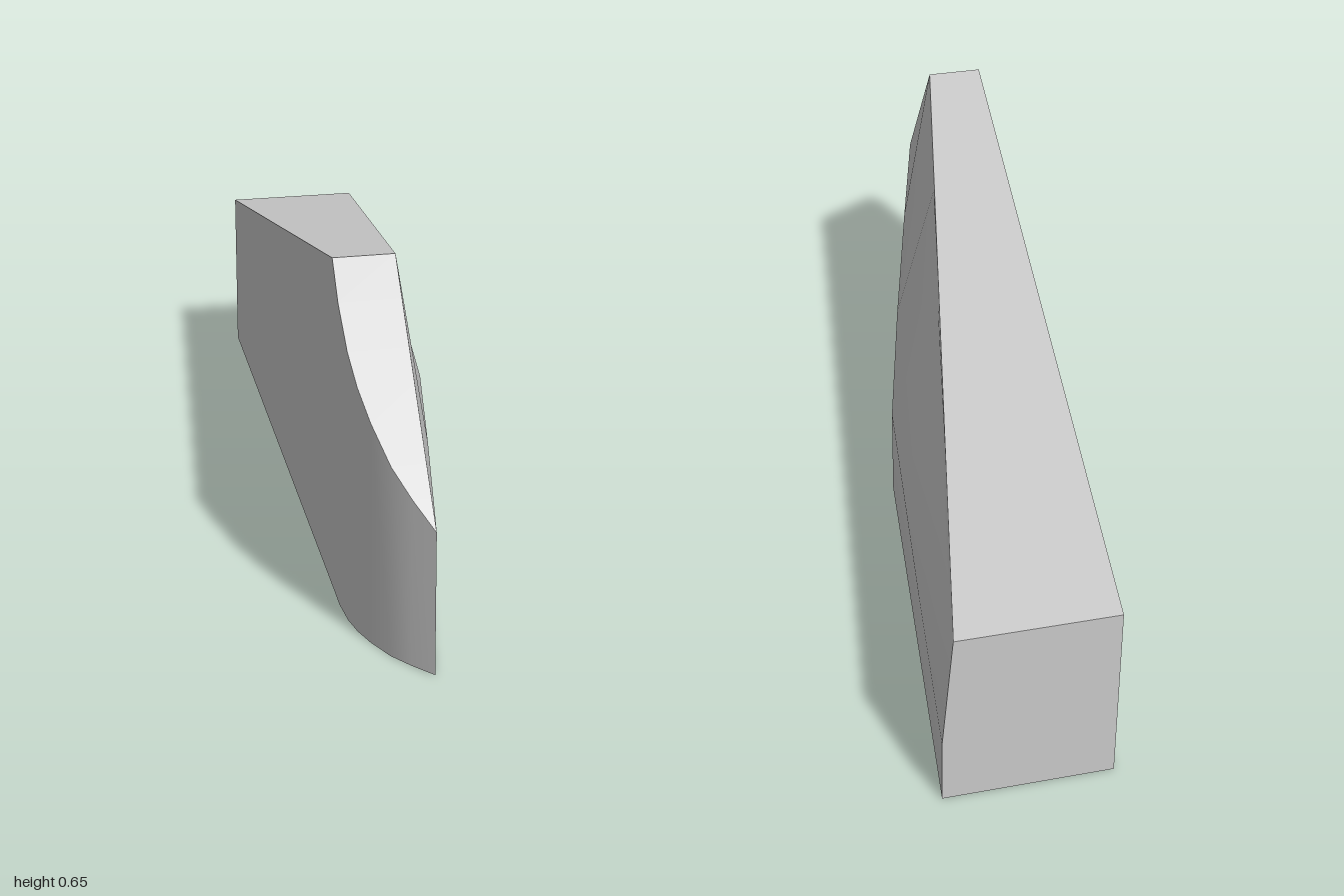
import * as THREE from 'three';

// Piecewise linear lookup through [z, value] pairs, z falling
function lookup(pairs, z) {
  for (let i = 1; i < pairs.length; i++) {
    const [z0, v0] = pairs[i - 1], [z1, v1] = pairs[i];
    if (z >= z1) return v0 + (v1 - v0) * (z0 - z) / (z0 - z1);
  }
  return pairs[pairs.length - 1][1];
}

// Skin between rows of points; flat patches get face normals
function skin(rows, flip, flat) {
  const n = rows[0].length, index = [];
  for (let i = 0; i < rows.length - 1; i++) {
    for (let j = 0; j < n - 1; j++) {
      const a = i * n + j, b = a + 1, c = a + n, d = c + 1;
      if (flip) index.push(a, b, d, a, d, c);
      else index.push(a, d, b, a, c, d);
    }
  }
  let geo = new THREE.BufferGeometry();
  geo.setAttribute('position', new THREE.Float32BufferAttribute(rows.flat(2), 3));
  geo.setIndex(index);
  if (flat) geo = geo.toNonIndexed();
  geo.computeVertexNormals();
  return geo;
}

export function createModel() {
  const group = new THREE.Group();
  group.name = 'wedgeBody';
  const grey = new THREE.MeshStandardMaterial({ color: 0xcacaca });
  grey.name = 'grey';

  // Plan outlines and height along the length
  const inner = [[1, -0.145], [0.955, -0.175], [0.91, -0.2], [0.85, -0.22], [0.8, -0.231],
    [0.75, -0.236], [0.68, -0.235], [0.615, -0.229], [-1, -0.09]];
  const outerBase = [[1, -0.145], [-0.08, 0.132], [-1, 0.236]];
  const outerTop = [[1, -0.145], [0.615, -0.111], [-1, 0.216]];
  const height = [[1, 0.265], [0.615, 0.65], [-1, 0.375]];

  // Outer wall: upright to a knuckle, leaning in to a ridge, then steep again
  const knuckleY = [[1, 0.265], [0.615, 0.28], [0.21, 0.27], [-0.08, 0.2], [-0.615, 0.15], [-1, 0.135]];
  const ridgeX = [[1, -0.145], [0.615, -0.109], [0.21, -0.027], [-0.615, 0.14], [-1, 0.217]];
  const ridgeY = [[1, 0.265], [0.615, 0.64], [0.21, 0.57], [-0.615, 0.32], [-1, 0.365]];
  const outerRow = z => {
    const x = lookup(outerBase, z);
    return [[x, 0, z], [x, lookup(knuckleY, z), z],
      [lookup(ridgeX, z), lookup(ridgeY, z), z],
      [lookup(outerTop, z), lookup(height, z), z]];
  };
  const innerRow = z => {
    const x = lookup(inner, z);
    return [[x, 0, z], [x, lookup(height, z), z]];
  };
  const topRow = z => [innerRow(z)[1], outerRow(z)[3]];
  const baseRow = z => [innerRow(z)[0], outerRow(z)[0]];

  const add = (name, rows, flip, flat) => {
    const mesh = new THREE.Mesh(skin(rows, flip, flat), grey);
    mesh.name = name;
    group.add(mesh);
  };

  const nose = inner.slice(0, -1).map(([z]) => z);
  const body = [0.615, -1];
  add('outerWall', knuckleY.map(([z]) => outerRow(z)), false, false);
  add('innerNose', nose.map(innerRow), true, false);
  add('innerWall', body.map(innerRow), true, true);
  add('noseSlope', nose.map(topRow), true, true);
  add('topFace', body.map(topRow), true, true);
  add('underside', [...nose, -0.08, -1].map(baseRow), false, true);

  // Back end closes the last section
  const backX = lookup(inner, -1);
  add('backFace', outerRow(-1).map(p => [[backX, p[1], -1], p]), false, true);
  return group;
}
